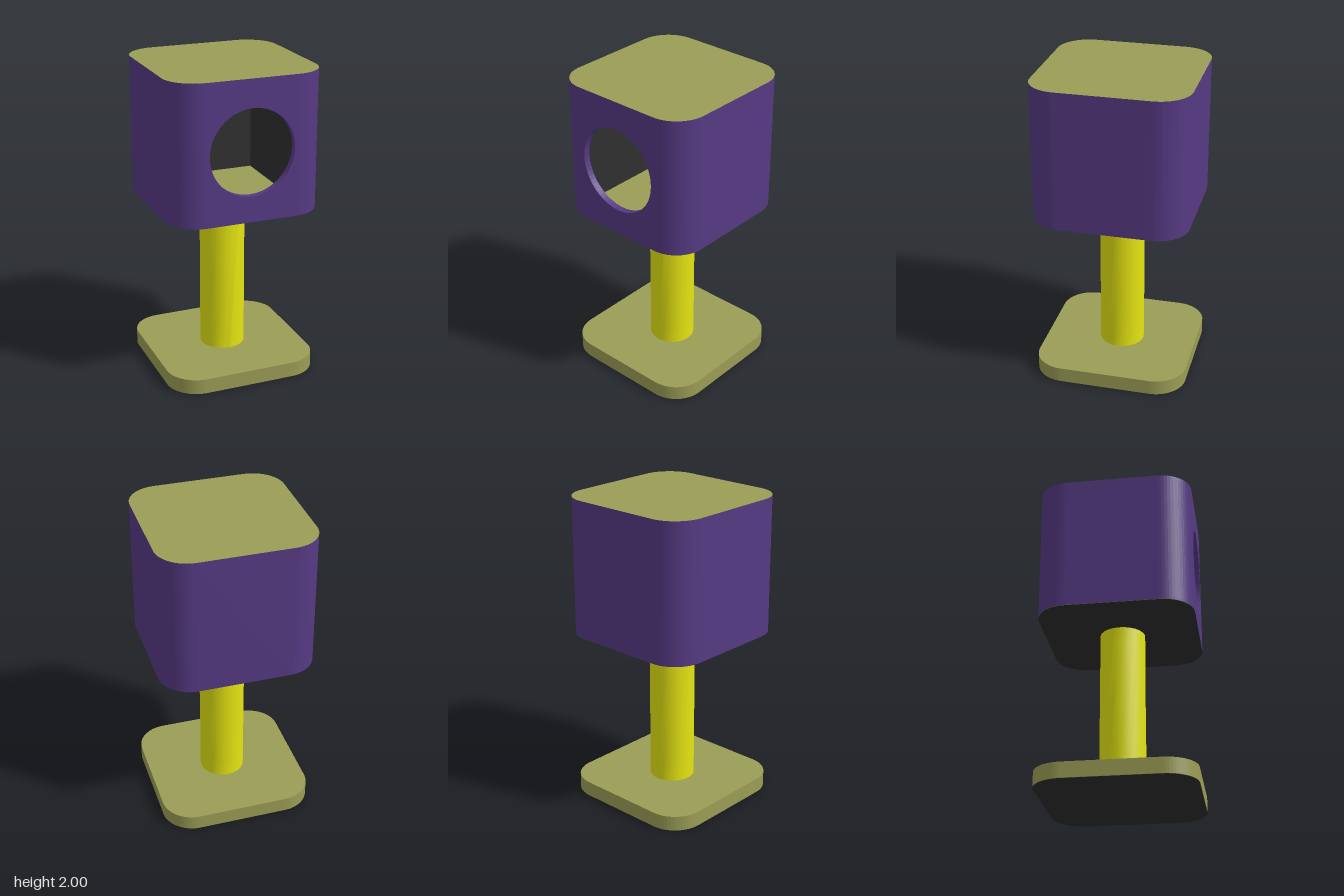
import * as THREE from 'three';

const HALF = 0.493, R = 0.2, C = HALF - R;      // rounded square footprint
const FLOOR = 1.13, CEIL = 1.98;                // inside of the house
const IN_X = 0.39, IN_Z = 0.45;                 // half sizes of the cavity
const HOLE_Y = 1.55, HOLE_R = 0.273;

const mat = (color) => new THREE.MeshStandardMaterial({ color });
const olive = mat(0x9b9d55), purple = mat(0x563a84), yellow = mat(0xe4e412), dark = mat(0x2f2f2f);

function mesh(name, geometry, material) {
  const m = new THREE.Mesh(geometry, material);
  m.name = name;
  return m;
}

// Outline running counter-clockwise from the right end to the left end of the front edge
function outline() {
  const s = new THREE.Shape();
  s.moveTo(C, -HALF);
  s.absarc(C, -C, R, -Math.PI / 2, 0);
  s.absarc(C, C, R, 0, Math.PI / 2);
  s.absarc(-C, C, R, Math.PI / 2, Math.PI);
  s.absarc(-C, -C, R, Math.PI, Math.PI * 1.5);
  return s;
}

// Extrudes a floor-plan shape upwards from y0 to y1
function upright(shape, y0, y1) {
  return new THREE.ExtrudeGeometry(shape, { depth: y1 - y0, bevelEnabled: false, curveSegments: 8 })
    .rotateX(-Math.PI / 2).translate(0, y0, 0);
}

const underside = (y) =>
  new THREE.ShapeGeometry(outline(), 8).rotateX(Math.PI / 2).translate(0, y, 0);

// Upright rectangle with the round entrance cut out
function frontShape(halfWidth) {
  const s = new THREE.Shape();
  s.moveTo(-halfWidth, FLOOR);
  s.lineTo(halfWidth, FLOOR);
  s.lineTo(halfWidth, CEIL);
  s.lineTo(-halfWidth, CEIL);
  s.closePath();
  s.holes.push(new THREE.Path().absarc(0, HOLE_Y, HOLE_R, 0, Math.PI * 2, true));
  return s;
}

// Post: cylinder whose rings turn gradually with height
function twistedPost() {
  const g = new THREE.CylinderGeometry(0.145, 0.145, 1.02, 24, 8).translate(0, 0.605, 0);
  const p = g.attributes.position, v = new THREE.Vector3(), up = new THREE.Vector3(0, 1, 0);
  for (let i = 0; i < p.count; i++) {
    v.fromBufferAttribute(p, i);
    v.applyAxisAngle(up, (v.y - 0.1) * 0.45);
    p.setXYZ(i, v.x, v.y, v.z);
  }
  g.computeVertexNormals();
  return g;
}

export function createModel() {
  const model = new THREE.Group();
  model.name = 'catHouse';

  // Base and post
  model.add(
    mesh('base', upright(outline(), 0.002, 0.1), olive),
    mesh('baseUnderside', underside(0), dark),
    mesh('post', twistedPost(), yellow),
  );

  // House: floor, roof, side walls and front panel with the entrance
  const house = new THREE.Group();
  house.name = 'house';
  const walls = outline();
  [[-C, -IN_Z], [-IN_X, -IN_Z], [-IN_X, IN_Z], [IN_X, IN_Z], [IN_X, -IN_Z], [C, -IN_Z]]
    .forEach(([x, y]) => walls.lineTo(x, y));
  walls.closePath();
  const front = new THREE.ExtrudeGeometry(frontShape(C), {
    depth: HALF - IN_Z, bevelEnabled: false, curveSegments: 32,
  }).translate(0, 0, IN_Z);
  house.add(
    mesh('houseFloor', upright(outline(), 1.112, FLOOR), [olive, purple]),
    mesh('houseUnderside', underside(1.11), dark),
    mesh('houseRoof', upright(outline(), CEIL, 2), [olive, purple]),
    mesh('houseWalls', upright(walls, FLOOR, CEIL), purple),
    mesh('frontPanel', front, purple),
  );

  // Dark lining just inside the walls
  const h = CEIL - FLOOR, mid = (CEIL + FLOOR) / 2, gap = 0.002;
  for (const side of [-1, 1]) {
    house.add(mesh('sideLining', new THREE.PlaneGeometry(2 * IN_Z, h)
      .rotateY(-side * Math.PI / 2).translate(side * (IN_X - gap), mid, 0), dark));
  }
  house.add(
    mesh('backLining', new THREE.PlaneGeometry(2 * IN_X, h).translate(0, mid, -IN_Z + gap), dark),
    mesh('ceilingLining', new THREE.PlaneGeometry(2 * IN_X, 2 * IN_Z)
      .rotateX(Math.PI / 2).translate(0, CEIL - gap, 0), dark),
    mesh('frontLining', new THREE.ShapeGeometry(frontShape(IN_X), 32)
      .rotateY(Math.PI).translate(0, 0, IN_Z - gap), dark),
  );
  model.add(house);
  return model;
}
